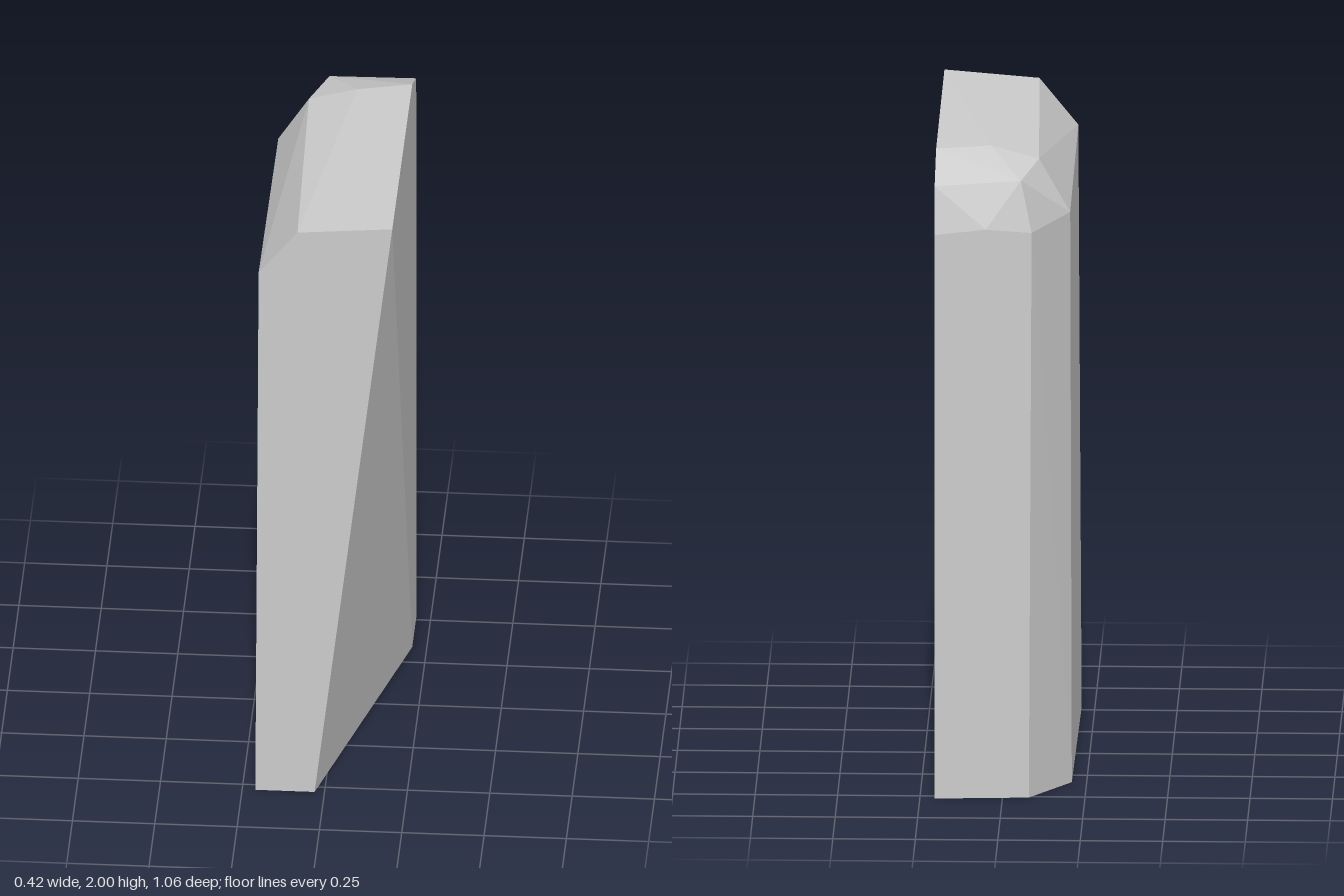
import * as THREE from 'three';
import { ConvexGeometry } from 'three/addons/geometries/ConvexGeometry.js';

export function createModel() {
  const group = new THREE.Group();
  group.name = 'slab';

  const stoneGrey = new THREE.MeshStandardMaterial({ color: 0xcccccc });
  stoneGrey.name = 'stoneGrey';

  // Corners of the chipped slab, listed from the base up
  const corners = [
    // base outline; the front right corner is cut back
    [-0.03, 0, 0.53], [-0.21, 0, 0.53], [-0.205, 0, -0.33],
    [-0.08, 0, -0.51], [0.206, 0, -0.53], [0.206, 0, -0.34],
    // shoulder where the bevels begin
    [-0.2, 1.83, 0.53], [-0.2, 1.79, -0.325], [-0.088, 1.77, -0.498],
    [0.05, 1.787, -0.526], [0.206, 1.77, -0.53],
    // middle of the rounded back edge
    [-0.055, 1.927, -0.475], [0.206, 1.915, -0.5],
    // top rim
    [0.206, 2, 0.53], [-0.082, 1.976, 0.53], [-0.105, 1.95, -0.3],
    [0.042, 1.99, -0.3], [0.206, 1.99, -0.34],
  ].map(([x, y, z]) => new THREE.Vector3(x, y, z));

  // Flat facets spanning the corners
  const body = new THREE.Mesh(new ConvexGeometry(corners), stoneGrey);
  body.name = 'slabBody';
  group.add(body);
  return group;
}
